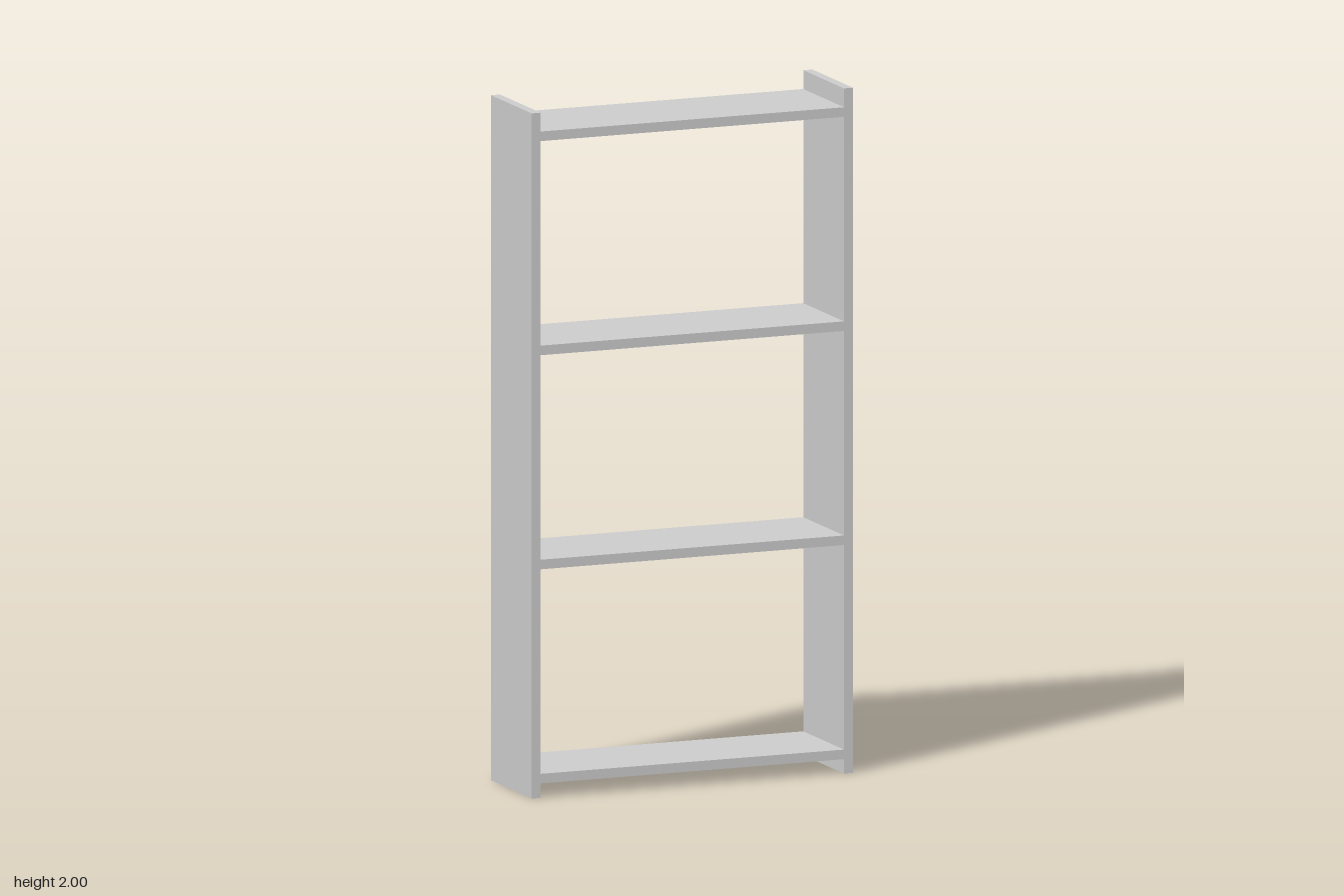
import * as THREE from 'three';

const WIDTH = 1.0, HEIGHT = 2.0, DEPTH = 0.3, BOARD = 0.028;
const SHELF_COUNT = 4, FIRST_SHELF = 0.056, SHELF_STEP = 0.625;

export function createModel() {
  const model = new THREE.Group();
  model.name = 'openShelfUnit';
  const material = new THREE.MeshStandardMaterial({ color: 0xcccccc });

  function addBoard(name, w, h, d, x, y) {
    const board = new THREE.Mesh(new THREE.BoxGeometry(w, h, d), material);
    board.name = name;
    board.position.set(x, y, 0);
    model.add(board);
  }

  // Upright side panels
  for (const [name, side] of [['leftPanel', 1], ['rightPanel', -1]]) {
    addBoard(name, BOARD, HEIGHT, DEPTH, side * (WIDTH - BOARD) / 2, HEIGHT / 2);
  }

  // Evenly spaced shelves fitted between the panels
  for (let i = 0; i < SHELF_COUNT; i++) {
    addBoard(`shelf${i + 1}`, WIDTH - 2 * BOARD, BOARD, DEPTH, 0, FIRST_SHELF + i * SHELF_STEP);
  }

  return model;
}
